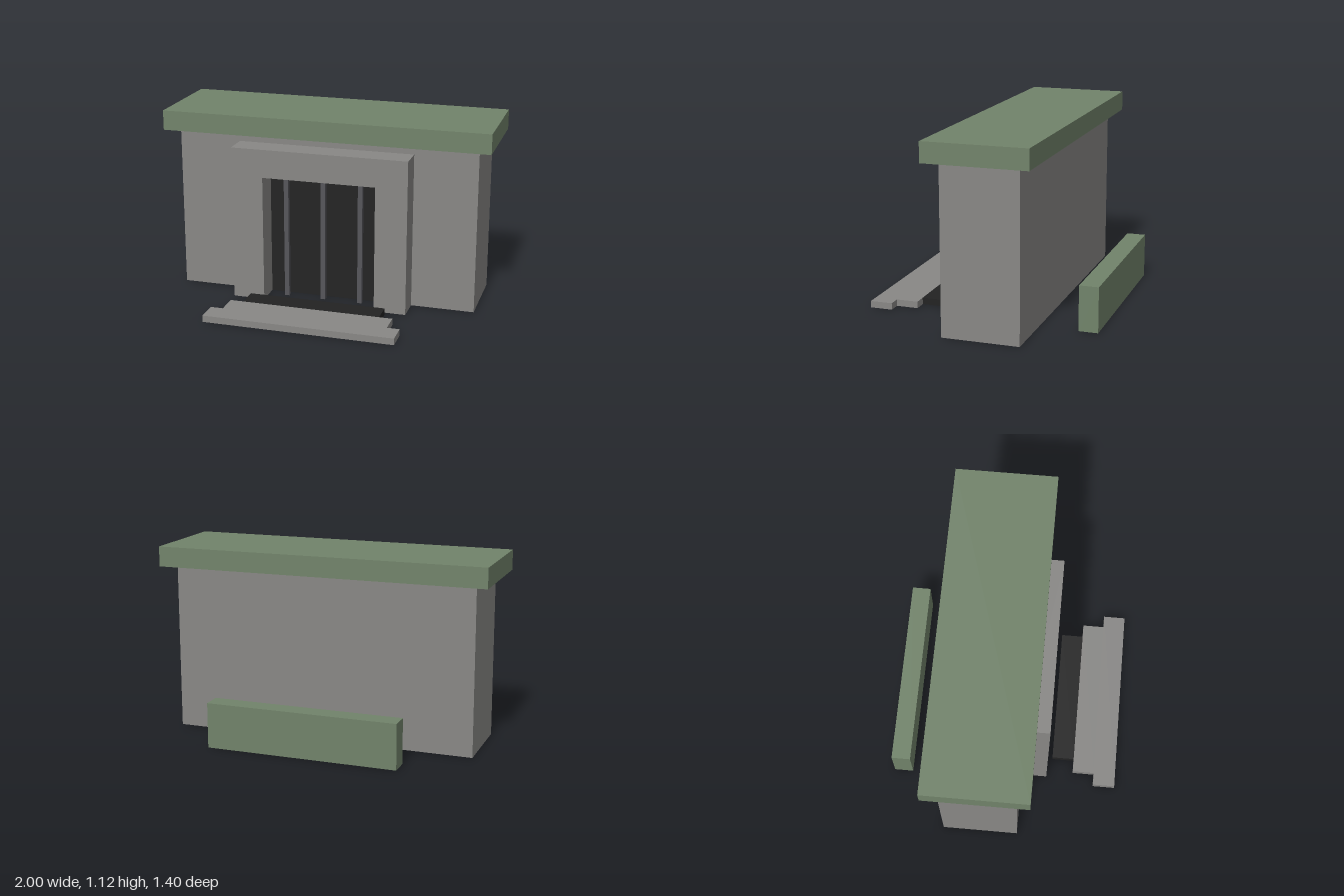
import * as THREE from 'three';

const material = (name, color) => {
  const m = new THREE.MeshStandardMaterial({ color });
  m.name = name;
  return m;
};

export function createModel() {
  const stone = material('grey stone', 0x888785);
  const green = material('muted green', 0x71836a);
  const dark = material('near black', 0x222222);
  const metal = material('dark grey metal', 0x55555a);

  const model = new THREE.Group();
  model.name = 'smallPavilion';

  // Box given by its x, y and z ranges
  const box = (name, mat, [x0, x1], [y0, y1], [z0, z1], parent = model) => {
    const mesh = new THREE.Mesh(new THREE.BoxGeometry(x1 - x0, y1 - y0, z1 - z0), mat);
    mesh.position.set((x0 + x1) / 2, (y0 + y1) / 2, (z0 + z1) / 2);
    mesh.name = name;
    parent.add(mesh);
    return mesh;
  };

  // Main block and overhanging roof slab
  box('mainBlock', stone, [-0.92, 0.92], [0, 1], [-0.35, 0.11]);
  box('roofSlab', green, [-1, 1], [1, 1.12], [-0.427, 0.188]);

  // Projecting door surround, open at the bottom
  const outer = 0.538, inner = 0.345, top = 0.945, head = 0.773;
  const outline = new THREE.Shape([
    [-outer, 0], [-inner, 0], [-inner, head], [inner, head],
    [inner, 0], [outer, 0], [outer, top], [-outer, top],
  ].map(([x, y]) => new THREE.Vector2(x, y)));
  const surround = new THREE.Mesh(
    new THREE.ExtrudeGeometry(outline, { depth: 0.155, bevelEnabled: false }), stone);
  surround.position.z = 0.11;
  surround.name = 'doorSurround';
  model.add(surround);

  // Dark recess behind the bars
  box('doorRecess', dark, [-inner, inner], [0, head], [0.108, 0.112]);

  // Upright bars across the doorway
  const bars = new THREE.Group();
  bars.name = 'doorBars';
  model.add(bars);
  for (const x of [-0.23, 0, 0.23]) {
    box('doorBar', metal, [x - 0.014, x + 0.014], [0, head], [0.14, 0.168], bars);
  }

  // Paving in front, widening away from the door
  box('doorMat', dark, [-0.42, 0.42], [0, 0.04], [0.295, 0.43]);
  box('innerPaving', stone, [-0.5, 0.5], [0, 0.04], [0.43, 0.563]);
  box('outerPaving', stone, [-0.575, 0.575], [0, 0.04], [0.563, 0.698]);

  // Low hedge behind the building
  box('rearHedge', green, [-0.575, 0.575], [0, 0.27], [-0.698, -0.583]);

  return model;
}
